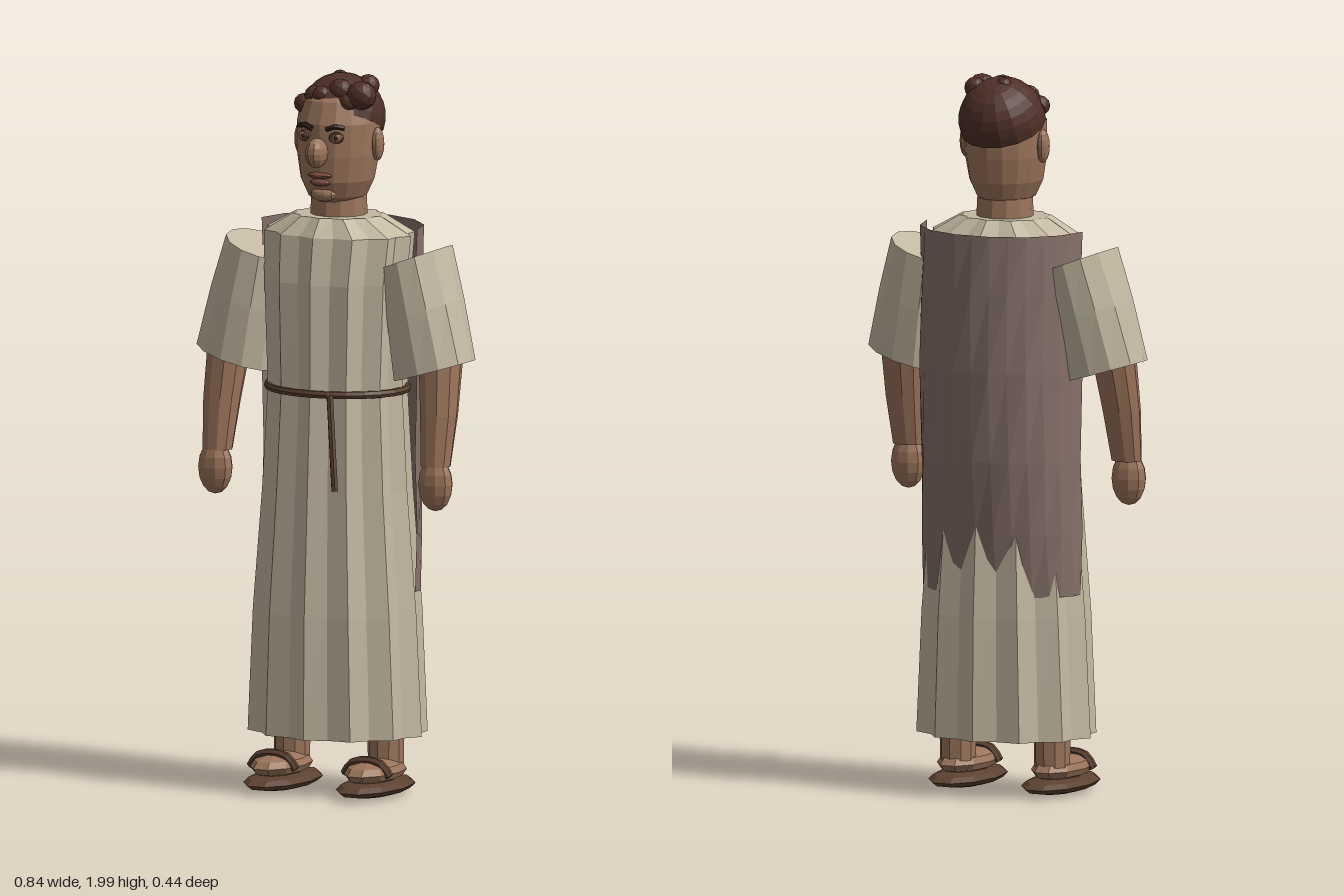
import * as THREE from 'three';

const mat = (color) => new THREE.MeshStandardMaterial({ color, flatShading: true, side: THREE.DoubleSide });

// Closed skin over rings listed bottom to top: [y, cx, cz, rx, rz, slope]; fold < 1 pulls in every other corner.
function loft(rings, n, fold = 1) {
  const pos = [], idx = [];
  rings.forEach(([y, cx, cz, rx, rz, slope = 0]) => {
    for (let j = 0; j < n; j++) {
      const a = (j / n) * Math.PI * 2, k = j % 2 ? fold : 1;
      const dx = Math.cos(a) * rx * k;
      pos.push(cx + dx, y + slope * dx, cz + Math.sin(a) * rz * k);
    }
  });
  for (let i = 0; i < rings.length - 1; i++) {
    for (let j = 0; j < n; j++) {
      const a = i * n + j, b = i * n + (j + 1) % n;
      idx.push(a, a + n, b, b, a + n, b + n);
    }
  }
  const last = rings.length - 1, bottom = pos.length / 3, top = bottom + 1;
  for (const r of [rings[0], rings[last]]) pos.push(r[1], r[0], r[2]);
  for (let j = 0; j < n; j++) {
    const k = (j + 1) % n;
    idx.push(bottom, j, k, top, last * n + k, last * n + j);
  }
  const g = new THREE.BufferGeometry();
  g.setAttribute('position', new THREE.Float32BufferAttribute(pos, 3));
  g.setIndex(idx);
  g.computeVertexNormals();
  return g;
}

export function createModel() {
  const model = new THREE.Group();
  model.name = 'robedMan';
  const skin = mat(0x9b745a), robe = mat(0xc4b9a2), cloak = mat(0x86706a);
  const hair = mat(0x4f3028), leather = mat(0x5c4230), dark = mat(0x33231c), lip = mat(0x7a4a3c);

  const add = (name, geo, material, p = [0, 0, 0], s = [1, 1, 1], r = [0, 0, 0]) => {
    const m = new THREE.Mesh(geo, material);
    m.name = name;
    m.position.set(...p);
    m.scale.set(...s);
    m.rotation.set(...r);
    model.add(m);
    return m;
  };
  const ball = (name, material, p, s, w = 10, h = 8, r) =>
    add(name, new THREE.SphereGeometry(1, w, h), material, p, s, r);
  const rod = (name, material, points, radius) =>
    add(name, new THREE.TubeGeometry(new THREE.CatmullRomCurve3(points.map((p) => new THREE.Vector3(...p))), 8, radius, 6), material);

  // Pleated robe
  add('robe', loft([
    [0.17, 0, 0, 0.26, 0.207], [0.51, 0, 0, 0.243, 0.202], [0.85, 0, 0, 0.215, 0.183],
    [1.13, 0, 0, 0.2, 0.168], [1.43, 0, 0, 0.212, 0.168], [1.56, 0, -0.01, 0.222, 0.16],
    [1.61, 0, -0.005, 0.13, 0.115],
  ], 24, 0.9), robe);

  // Rope belt with hanging end
  add('belt', new THREE.TorusGeometry(1, 0.05, 6, 24), leather, [0, 1.13, 0], [0.2, 0.17, 0.22], [Math.PI / 2, 0, 0]);
  rod('beltEnd', leather, [[0.06, 1.13, 0.165], [0.078, 1, 0.185], [0.095, 0.87, 0.203]], 0.01);

  // Cloak wrapped around the back
  const cloakRows = [[0.57, 0.165], [0.75, 0.188], [0.95, 0.21], [1.2, 0.222], [1.42, 0.219], [1.58, 0.212]];
  const cloakGeo = new THREE.PlaneGeometry(1, 1, 14, cloakRows.length - 1);
  const cp = cloakGeo.attributes.position;
  for (let i = 0; i < cp.count; i++) {
    const [y, depth] = cloakRows[cloakRows.length - 1 - Math.floor(i / 15)];
    const a = ((i % 15) / 14) * Math.PI;
    const wave = 1 - 0.025 * (i % 2);
    cp.setXYZ(i, Math.cos(a) * 0.24 * wave, y, -0.01 - Math.sin(a) * (depth - 0.008) * wave);
  }
  cloakGeo.computeVertexNormals();
  add('cloak', cloakGeo, cloak);

  // Neck and head
  add('neck', new THREE.CylinderGeometry(0.075, 0.082, 0.14, 12), skin, [0, 1.62, -0.008]);
  add('head', loft([
    [1.645, 0, 0, 0.05, 0.06], [1.665, 0, 0, 0.08, 0.09], [1.71, 0, 0, 0.101, 0.108],
    [1.78, 0, -0.003, 0.113, 0.115], [1.87, 0, -0.007, 0.115, 0.116], [1.93, 0, -0.015, 0.1, 0.102],
    [1.975, 0, -0.02, 0.055, 0.06],
  ], 16), skin);

  // Hair cap tilted back, with curls
  add('hairCap', new THREE.SphereGeometry(0.121, 16, 8, 0, Math.PI * 2, 0, 1.72), hair,
    [0, 1.877, -0.026], [1, 1, 1], [-0.42, 0, 0]);
  [[0.095, 1.95, 0.042, 0.043], [0.03, 1.958, 0.038, 0.036], [-0.02, 1.945, 0.055, 0.028], [-0.05, 1.94, 0.04, 0.03],
    [0.06, 1.93, 0.055, 0.026], [-0.085, 1.915, 0.035, 0.03], [0.07, 1.965, -0.05, 0.032], [-0.02, 1.978, -0.055, 0.024],
  ].forEach(([x, y, z, r]) => add('curl', new THREE.IcosahedronGeometry(r, 1), hair, [x, y, z], [1, 0.95, 0.85]));

  // Nose, lips and chin line
  ball('nose', skin, [0, 1.795, 0.127], [0.03, 0.042, 0.038]);
  ball('upperLip', lip, [0, 1.73, 0.108], [0.037, 0.009, 0.014]);
  ball('lowerLip', lip, [0, 1.71, 0.106], [0.03, 0.01, 0.014]);
  ball('chin', skin, [0, 1.675, 0.085], [0.04, 0.02, 0.022]);

  for (const s of [1, -1]) {
    // Eyes, brows and ears
    ball('eye', skin, [s * 0.05, 1.838, 0.1], [0.019, 0.014, 0.012]);
    add('eyelid', new THREE.TorusGeometry(0.017, 0.004, 5, 10), lip, [s * 0.05, 1.838, 0.106], [1, 0.8, 1], [0, s * 0.4, 0]);
    ball('pupil', dark, [s * 0.05, 1.838, 0.109], [0.007, 0.007, 0.005]);
    rod('brow', dark, [[s * 0.022, 1.86, 0.113], [s * 0.045, 1.868, 0.109], [s * 0.07, 1.864, 0.095]], 0.008);
    ball('ear', skin, [s * 0.118, 1.81, -0.01], [0.018, 0.047, 0.022]);

    // Wide sleeve, forearm and fist
    add('sleeve', loft([
      [1.195, s * 0.305, 0.01, 0.115, 0.103, s * 0.3],
      [1.36, s * 0.272, 0, 0.104, 0.115, s * 0.34],
      [1.505, s * 0.24, -0.01, 0.091, 0.122, s * 0.38],
    ], 12), robe);
    add('forearm', loft([
      [0.94, s * 0.337, 0.067, 0.044, 0.036], [1.08, s * 0.335, 0.042, 0.054, 0.05],
      [1.25, s * 0.325, 0.01, 0.062, 0.066],
    ], 10), skin);
    ball('hand', skin, [s * 0.34, 0.89, 0.074], [0.052, 0.075, 0.037]);

    // Ankle, foot and sandal
    add('ankle', new THREE.CylinderGeometry(0.052, 0.05, 0.16, 10), skin, [s * 0.145, 0.15, -0.008]);
    ball('foot', skin, [s * 0.145, 0.075, 0.055], [0.07, 0.035, 0.135], 10, 6);
    ball('sole', leather, [s * 0.143, 0.032, 0.05], [0.088, 0.026, 0.173], 10, 6);
    rod('strap', leather, [[s * 0.075, 0.07, 0.105], [s * 0.1, 0.103, 0.108], [s * 0.145, 0.112, 0.108],
      [s * 0.19, 0.103, 0.108], [s * 0.215, 0.07, 0.105]], 0.012);
  }
  return model;
}
